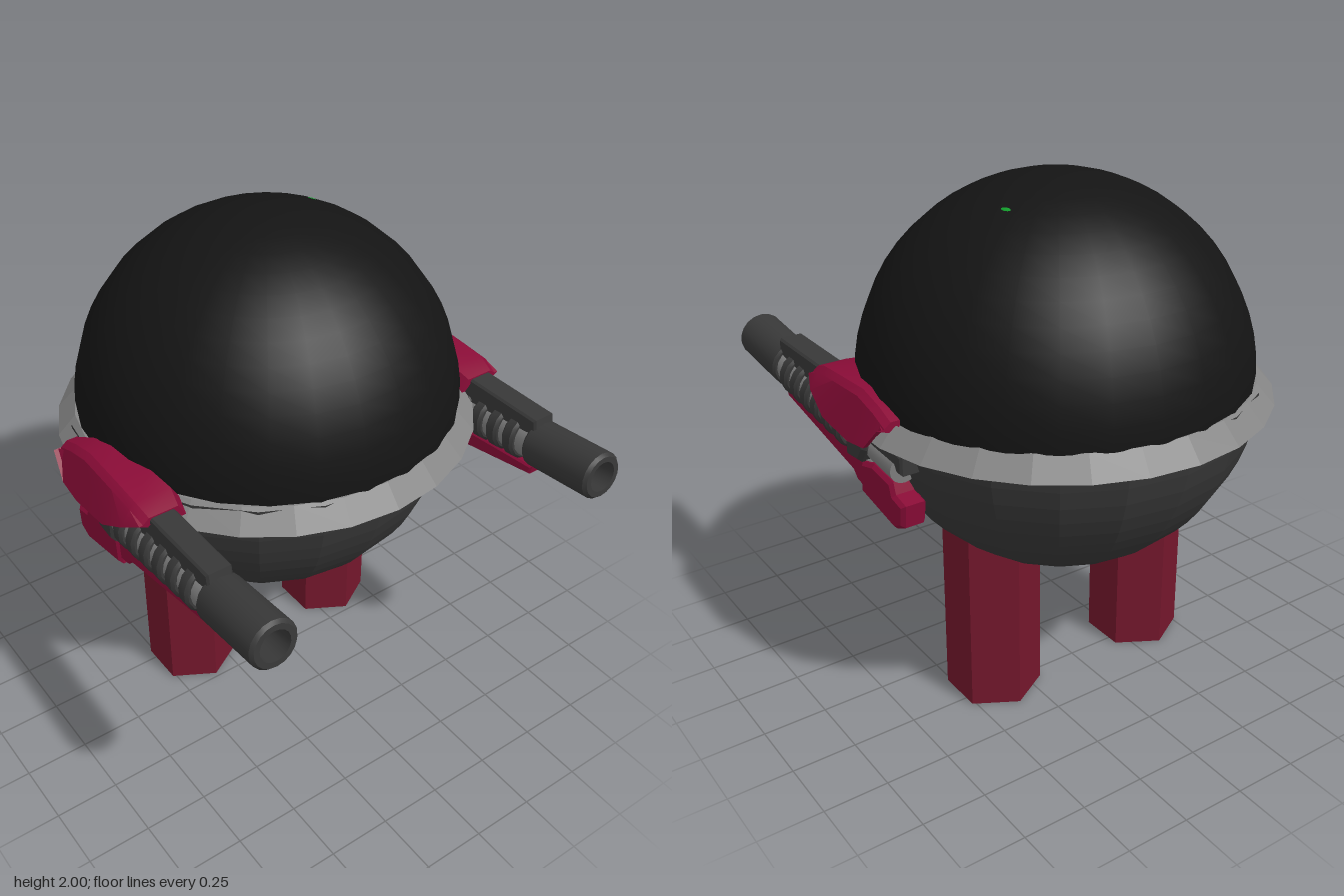
import * as THREE from 'three';
import { toCreasedNormals } from 'three/addons/utils/BufferGeometryUtils.js';

const mat = (color, opts = {}) => new THREE.MeshStandardMaterial({ color, ...opts });
const mats = {
  dome: mat(0x141414),
  belly: mat(0x383838, { flatShading: true }),
  ring: mat(0x858585, { flatShading: true }),
  leg: mat(0x74172c, { flatShading: true }),
  red: mat(0x8a0c37),
  dark: mat(0x383838),
  metal: mat(0x808080),
  glow: mat(0x12a02c),
};

function add(parent, name, geometry, material, x = 0, y = 0, z = 0) {
  const mesh = new THREE.Mesh(geometry, material);
  mesh.name = name;
  mesh.position.set(x, y, z);
  parent.add(mesh);
  return mesh;
}

const v2 = (pts) => pts.map(([a, b]) => new THREE.Vector2(a, b));
const lathe = (pts, sides) => toCreasedNormals(new THREE.LatheGeometry(v2(pts), sides), 0.6);

// Side outline given as (z, y), extruded to a width centred on x = 0
function sidePlate(pts, width, bevel) {
  const g = new THREE.ExtrudeGeometry(new THREE.Shape(v2(pts)), {
    depth: width - 2 * bevel, bevelEnabled: true, bevelSegments: 1,
    bevelSize: bevel, bevelThickness: bevel, bevelOffset: -bevel,
  });
  g.translate(0, 0, -width / 2 + bevel);
  g.rotateY(-Math.PI / 2);
  return g;
}

// Bent shell lofted through cross-sections, each an outer line plus its thickness
function coverGeometry() {
  // z, roof height, outer lip x, outer lip y, inner lip x
  const stations = [
    [0.30, 1.285, 0.82, 1.265, 0.635],
    [0.23, 1.312, 0.85, 1.23, 0.62],
    [0.11, 1.32, 0.865, 1.17, 0.63],
    [-0.08, 1.33, 0.865, 1.15, 0.66],
    [-0.19, 1.305, 0.86, 1.165, 0.69],
    [-0.27, 1.275, 0.845, 1.255, 0.72],
  ];
  const t = 0.018;
  const pos = [], idx = [];
  for (const [z, top, ox, oy, ix] of stations) {
    const roof = Math.min(ox - 0.04, 0.79);
    const line = [[ix, top - 0.05], [ix + 0.03, top], [roof, top], [roof + 0.025, top - 0.02], [ox, oy]];
    const under = line.map(([x, y], i) => [x + (i < 2 ? t : -t), i === 0 || i === 4 ? y : y - t]).reverse();
    for (const [x, y] of [...line, ...under]) pos.push(x, y, z);
  }
  const n = 10;
  for (let s = 0; s < stations.length - 1; s++) {
    for (let i = 0; i < n; i++) {
      const j = (i + 1) % n, a = s * n + i, b = s * n + j;
      idx.push(a, b, a + n, b, b + n, a + n);
    }
  }
  // front and rear rims
  for (const s of [0, stations.length - 1]) {
    for (let i = 0; i < 4; i++) {
      const a = s * n + i, b = a + 1, c = s * n + 9 - i, d = c - 1;
      idx.push(a, c, b, b, c, d);
    }
  }
  const g = new THREE.BufferGeometry();
  g.setAttribute('position', new THREE.Float32BufferAttribute(pos, 3));
  g.setIndex(idx);
  return toCreasedNormals(g, 0.5);
}

function createBlaster() {
  const gun = new THREE.Group();
  const cx = 0.727;

  // Barrel, core and ribs share one slightly raised axis
  const axis = new THREE.Group();
  axis.name = 'barrelAssembly';
  axis.position.set(cx, 1.095, 0);
  axis.rotation.x = Math.PI / 2 - 0.1;
  gun.add(axis);
  add(axis, 'barrel', lathe([
    [0, 0.64], [0.085, 0.64], [0.093, 0.65], [0.093, 0.95], [0.082, 0.963],
    [0.06, 0.963], [0.055, 0.85], [0, 0.85],
  ], 18), mats.dark);
  add(axis, 'core', lathe([[0, -0.24], [0.06, -0.24], [0.06, -0.05], [0.076, -0.05], [0.076, 0.645], [0, 0.645]], 16), mats.metal);
  const rib = lathe([[0.06, -0.029], [0.085, -0.029], [0.095, -0.018], [0.095, 0.018], [0.085, 0.029], [0.06, 0.029]], 14);
  for (let i = 0; i < 6; i++) add(axis, 'coolingRib', rib, mats.dark, 0, 0.12 + i * 0.088, 0);

  // Rail along the top with a hooked rear end
  add(gun, 'topRail', sidePlate([
    [0.66, 1.22], [0.65, 1.28], [0.30, 1.28], [0.0, 1.22], [-0.08, 1.165], [-0.30, 1.15],
    [-0.30, 1.075], [-0.265, 1.075], [-0.25, 1.10], [-0.07, 1.11], [0.05, 1.13], [0.6, 1.2],
  ], 0.10, 0.008), mats.dark, cx);
  add(gun, 'receiver', sidePlate([
    [0.06, 1.02], [0.06, 1.18], [-0.08, 1.165], [-0.08, 1.09], [-0.04, 1.03],
  ], 0.16, 0.015), mats.dark, cx);

  // Red lower guard and grip
  add(gun, 'lowerGuard', sidePlate([
    [0.66, 1.07], [0.65, 1.03], [0.10, 0.93], [0.07, 0.90], [0.0, 0.89], [0.0, 1.0], [0.10, 1.02],
  ], 0.08, 0.008), mats.red, cx - 0.005);
  add(gun, 'grip', sidePlate([
    [0.03, 0.875], [-0.22, 0.83], [-0.28, 0.86], [-0.29, 0.95], [-0.22, 0.965],
    [-0.205, 1.01], [-0.07, 1.025], [0.02, 1.0],
  ], 0.10, 0.014), mats.red, cx - 0.005);

  add(gun, 'cover', coverGeometry(), mat(0x8a0c37, { side: THREE.DoubleSide }));
  return gun;
}

export function createModel() {
  const model = new THREE.Group();
  model.name = 'walker';
  const cz = -0.153;

  // Round body: smooth dome above, faceted bowl below
  add(model, 'dome', new THREE.SphereGeometry(0.745, 26, 14, 0, Math.PI * 2, 0, Math.PI / 2),
    mats.dome, 0.025, 1.255, cz);
  add(model, 'belly', new THREE.SphereGeometry(0.75, 20, 16, 0, Math.PI * 2, Math.PI / 2, Math.PI / 2),
    mats.belly, 0.0, 1.25, cz);

  // Flared ring where the two halves meet
  add(model, 'ring', new THREE.LatheGeometry(v2([
    [0.70, 1.18], [0.815, 1.18], [0.745, 1.26], [0.70, 1.26],
  ]), 26), mats.ring, 0.018, 0, cz);

  // Small lights just breaking through the dome
  const light = new THREE.SphereGeometry(1, 8, 6);
  const lights = [[0.31, 1.922, -0.262, 0.018, 0.04], [-0.288, 1.917, -0.14, 0.012, 0.024]];
  for (const [x, y, z, w, d] of lights) {
    const spot = add(model, 'light', light, mats.glow, x, y, z);
    spot.scale.set(w, 0.012, d);
    spot.rotation.y = x > 0 ? 0.3 : 0;
    spot.rotation.z = -x * 1.4;
  }

  // Hexagonal legs and arm blasters, one per side
  for (const side of [1, -1]) {
    const name = side > 0 ? 'left' : 'right';
    add(model, name + 'Leg', new THREE.CylinderGeometry(0.185, 0.185, 0.85, 6),
      mats.leg, side * 0.353, 0.425, -0.203);
    const gun = createBlaster();
    gun.name = name + 'Blaster';
    gun.scale.x = side;
    model.add(gun);
  }
  return model;
}
